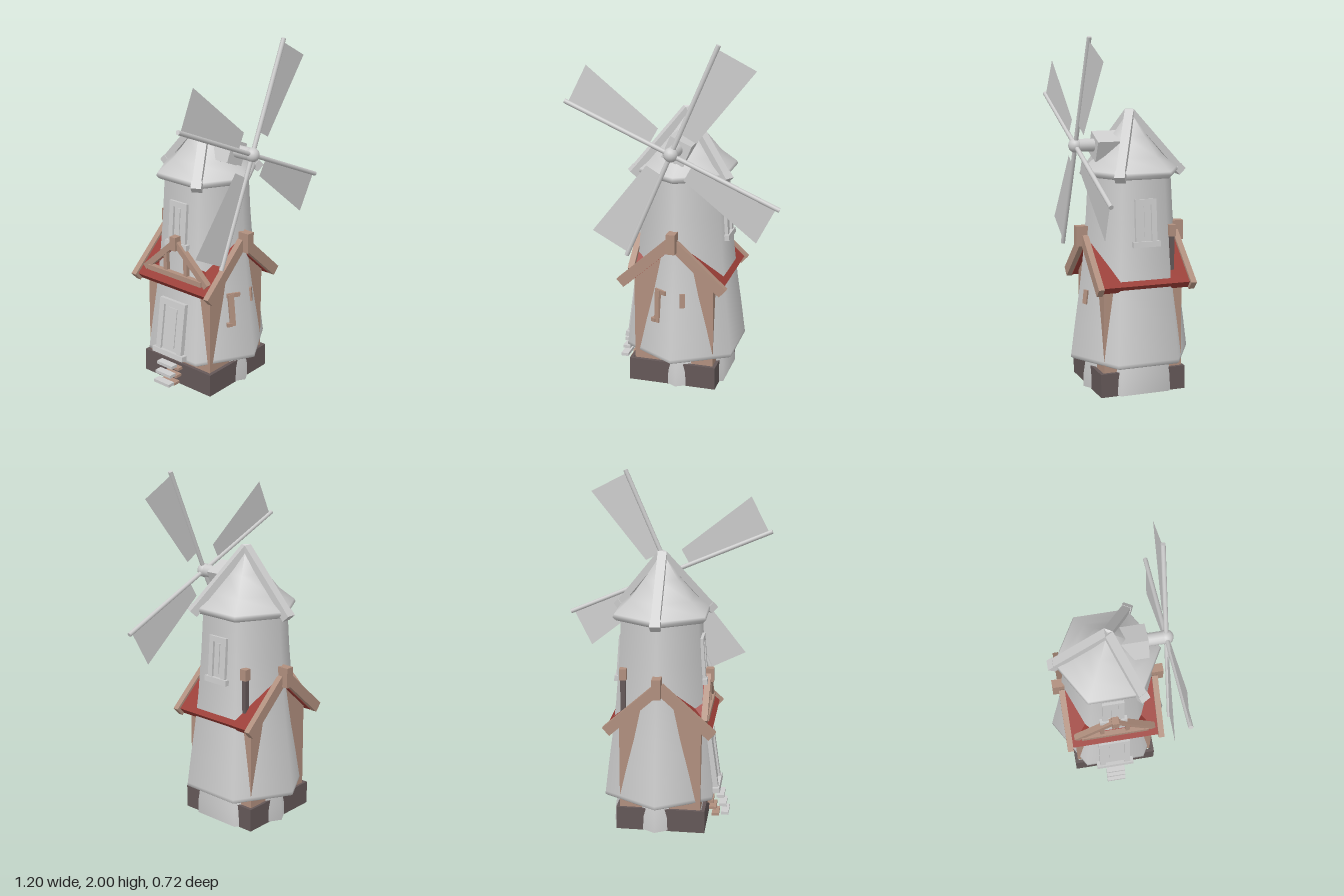
import * as THREE from 'three';

const mat = (name, color, side = THREE.FrontSide) => {
  const m = new THREE.MeshStandardMaterial({ color, side });
  m.name = name;
  return m;
};

export function createModel() {
  const plaster = mat('plaster', 0xcccccc, THREE.DoubleSide);
  const wood = mat('wood', 0xb08f7e);
  const tile = mat('roofTile', 0x9a3d36);
  const stone = mat('stone', 0x645858);

  const model = new THREE.Group();
  model.name = 'windmill';
  const group = (name, parent = model) => {
    const g = new THREE.Group();
    g.name = name;
    parent.add(g);
    return g;
  };
  const add = (parent, name, geo, material, pos = [0, 0, 0], rot = [0, 0, 0]) => {
    const m = new THREE.Mesh(geo, material);
    m.name = name;
    m.position.set(...pos);
    m.rotation.set(...rot);
    parent.add(m);
    return m;
  };
  const box = (parent, name, material, size, pos, rot) =>
    add(parent, name, new THREE.BoxGeometry(...size), material, pos, rot);
  // Square beam running between two points
  const beam = (parent, name, material, a, b, w, h) => {
    const A = new THREE.Vector3(...a), B = new THREE.Vector3(...b);
    const m = box(parent, name, material, [w, h, A.distanceTo(B)], A.clone().lerp(B, 0.5).toArray());
    m.lookAt(B);
    return m;
  };
  // Six-sided turned body with a corner facing the front
  const hex = (name, pts) =>
    add(model, name, new THREE.LatheGeometry(pts.map(p => new THREE.Vector2(...p)), 6), plaster);

  // Tower, cap and footing
  hex('tower', [[0.26, 0.178], [0.345, 0.178], [0.36, 0.188], [0.357, 0.205], [0.334, 0.38], [0.308, 0.56],
    [0.285, 0.75], [0.264, 1.0], [0.25, 1.24]]);
  hex('cap', [[0.23, 1.225], [0.28, 1.225], [0.3, 1.245], [0.292, 1.262], [0.2, 1.335], [0.11, 1.445], [0, 1.59]]);
  hex('footing', [[0.288, 0.008], [0.286, 0.09], [0.272, 0.18]]).position.x = 0.01;

  // Ribs over alternate corners of the cap
  for (let i = 0; i < 3; i++) {
    const a = Math.PI + i * Math.PI * 2 / 3, s = Math.sin(a), c = Math.cos(a);
    beam(model, 'capRib', plaster, [0, 1.583, 0], [s * 0.31, 1.24, c * 0.31], 0.05, 0.04);
    beam(model, 'capRibEnd', plaster, [s * 0.285, 1.262, c * 0.285], [s * 0.315, 1.23, c * 0.315], 0.058, 0.052);
  }

  // Stone plinth: four walls left open below
  const cx = -0.015;
  const plinth = group('plinth');
  plinth.position.set(cx - 0.004, 0.072, 0.005);
  for (const s of [-1, 1]) {
    box(plinth, 'plinthWall', stone, [0.51, 0.135, 0.02], [0, 0, s * 0.242]);
    box(plinth, 'plinthWall', stone, [0.02, 0.135, 0.5], [s * 0.245, 0, 0]);
  }

  // Timber house around the tower
  const house = group('house');
  house.position.x = cx;
  const gable = new THREE.Shape([[-0.232, 0.13], [0.232, 0.13], [0.232, 0.65], [0, 0.86], [-0.232, 0.65]]
    .map(p => new THREE.Vector2(...p)));
  const gableGeo = new THREE.ExtrudeGeometry(gable, { depth: 0.02, bevelEnabled: false });
  const slope = 0.733;
  for (const s of [-1, 1]) {
    add(house, 'gableWall', gableGeo, wood, [0, 0, s * 0.222 - 0.01]);
    box(house, 'sideWall', wood, [0.02, 0.52, 0.44], [s * 0.222, 0.39, 0]);
    box(house, 'roofSlope', tile, [0.37, 0.05, 0.52], [s * 0.143, 0.745, 0], [0, 0, -s * slope]);
    box(house, 'ridgePost', wood, [0.05, 0.115, 0.07], [0.01, 0.888, s * 0.29]);
    for (const e of [-1, 1])
      box(house, 'bargeBoard', wood, [0.4, 0.06, 0.034], [e * 0.15, 0.75, s * 0.273], [0, 0, -e * slope]);
  }

  // Small dormer frame on the roof above the door
  const dormer = group('dormer');
  box(dormer, 'dormerPost', wood, [0.045, 0.08, 0.04], [-0.275, 0.885, 0]);
  box(dormer, 'dormerSill', wood, [0.03, 0.03, 0.4], [-0.275, 0.69, 0]);
  for (const s of [-1, 1]) {
    beam(dormer, 'dormerRafter', wood, [-0.265, 0.89, 0], [-0.265, 0.68, s * 0.23], 0.035, 0.035);
    box(dormer, 'dormerStud', wood, [0.025, 0.12, 0.025], [-0.265, 0.75, s * 0.075]);
    beam(dormer, 'dormerRoof', tile, [-0.225, 0.88, 0], [-0.225, 0.68, s * 0.21], 0.05, 0.02);
  }

  // Chimney beside the rear roof
  const chimney = group('chimney');
  box(chimney, 'chimneyStem', stone, [0.03, 0.23, 0.025], [0.2, 0.79, -0.175]);
  box(chimney, 'chimneyTop', wood, [0.04, 0.065, 0.04], [0.2, 0.925, -0.175]);

  // Timber pieces showing through the front plaster
  const timbers = group('frontTimbers');
  const turn = -Math.PI / 6;
  box(timbers, 'timberUpright', wood, [0.034, 0.19, 0.03], [-0.095, 0.49, 0.262], [-0.1, turn, 0]);
  box(timbers, 'timberArm', wood, [0.08, 0.025, 0.03], [-0.076, 0.578, 0.256], [0, turn, 0]);
  box(timbers, 'timberFoot', wood, [0.03, 0.022, 0.03], [-0.118, 0.408, 0.266], [0, turn, 0]);
  box(timbers, 'timberPeg', wood, [0.028, 0.08, 0.03], [0.048, 0.545, 0.278], [-0.1, -turn, 0]);

  // Framed opening facing +x in its own space
  const frame = (parent, w, h, t) => {
    box(parent, 'panel', plaster, [0.012, h, w], [0, h / 2, 0]);
    for (const s of [-1, 1])
      box(parent, 'jamb', plaster, [0.03, h, t], [0.005, h / 2, s * (w - t) / 2]);
    box(parent, 'lintel', plaster, [0.03, t, w], [0.005, h - t / 2, 0]);
    box(parent, 'innerPanel', plaster, [0.018, h - t * 2.6, w - t * 3.6], [0.003, h / 2, 0]);
  };

  // Windows on both sides
  for (const s of [-1, 1]) {
    const win = group('sideWindow');
    win.position.set(s * 0.238, 0.865, -0.006);
    win.rotation.y = s < 0 ? Math.PI : 0;
    const tilt = group('windowFrame', win);
    tilt.rotation.z = 0.075;
    frame(tilt, 0.125, 0.25, 0.03);
    box(tilt, 'sill', plaster, [0.045, 0.032, 0.16], [0.006, 0, 0]);
  }

  // Door leaning with the wall
  const door = group('door');
  door.position.set(-0.322, 0.205, -0.005);
  door.rotation.y = Math.PI;
  const leaf = group('doorFrame', door);
  leaf.rotation.z = 0.14;
  frame(leaf, 0.19, 0.33, 0.035);
  box(leaf, 'doorSill', plaster, [0.04, 0.03, 0.23], [0.008, 0.01, 0]);

  // Steps with timber supports
  const steps = group('steps');
  for (let i = 0; i < 3; i++) {
    box(steps, 'tread', plaster, [0.044, 0.018, 0.115], [-0.35 - i * 0.0135, 0.155 - i * 0.053, -0.005]);
    box(steps, 'treadSupport', wood, [0.042, 0.016, 0.1], [-0.287 - i * 0.017, 0.115 - i * 0.04, -0.005]);
  }

  // Sails with hub, shaft and housing
  const spin = -0.408;
  const rotor = group('rotor');
  rotor.position.set(0, 1.4, 0.322);
  box(rotor, 'shaftHousing', plaster, [0.132, 0.132, 0.2], [0, -0.012, -0.205], [0, 0, spin]);
  add(rotor, 'shaft', new THREE.CylinderGeometry(0.036, 0.036, 0.14, 16), plaster, [0, 0, -0.06], [Math.PI / 2, 0, 0]);
  add(rotor, 'hub', new THREE.SphereGeometry(0.04, 16, 12), plaster);
  const cloth = new THREE.ShapeGeometry(new THREE.Shape([[0, 0.13], [0.1, 0.12], [0.234, 0.615], [0, 0.63]]
    .map(p => new THREE.Vector2(...p))));
  for (let i = 0; i < 4; i++) {
    const sail = group('sail', rotor);
    sail.rotation.z = spin + i * Math.PI / 2;
    add(sail, 'sailArm', new THREE.CylinderGeometry(0.013, 0.013, 0.65, 10), plaster, [0, 0.325, 0]);
    add(sail, 'sailCloth', cloth, plaster, [0, 0, 0], [0, 0.04, 0]);
  }

  return model;
}
